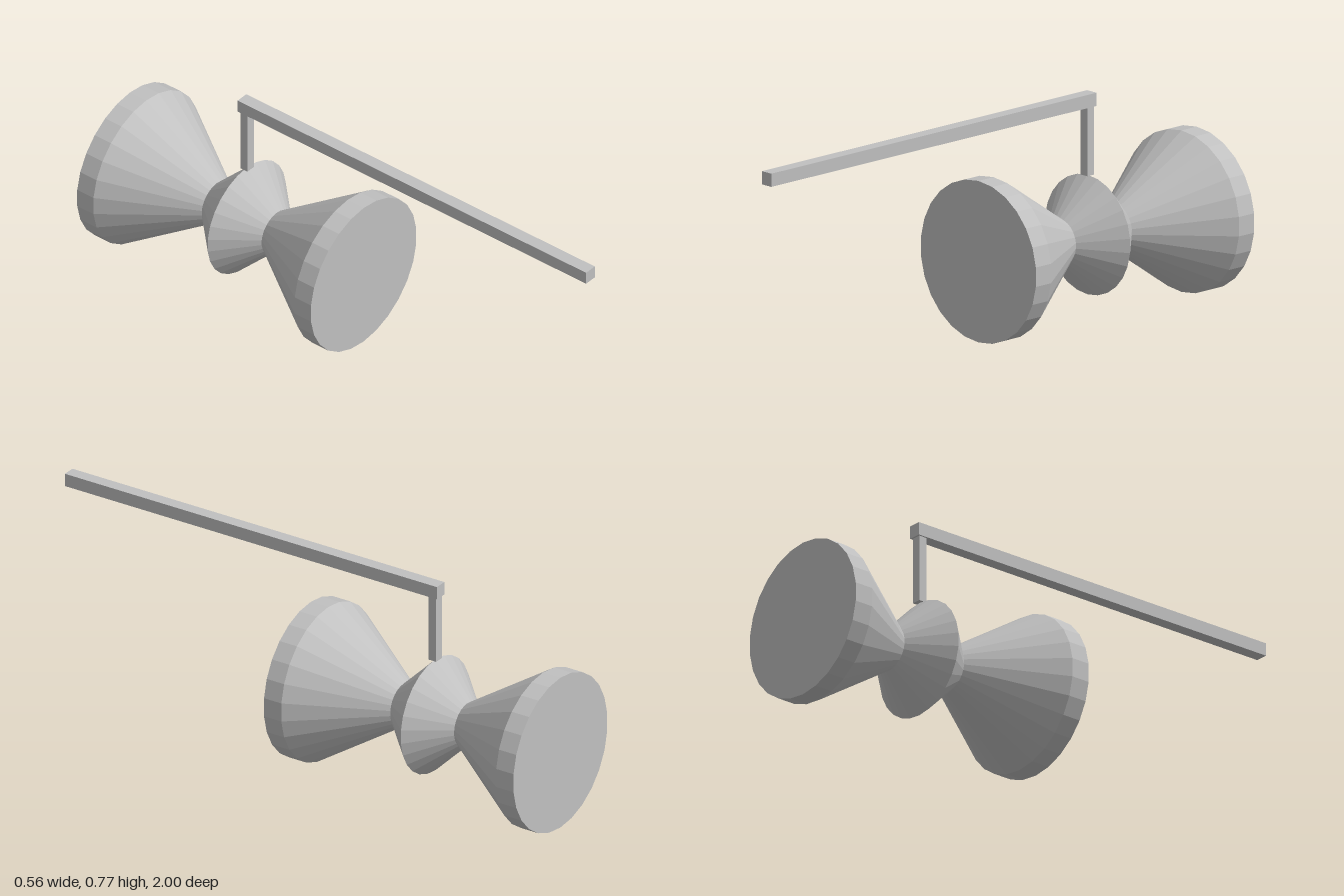
import * as THREE from 'three';

const SIDES = 26, RADIUS = 0.281, CENTRE_Z = -0.4925;

export function createModel() {
  const model = new THREE.Group();
  model.name = 'spool';
  const grey = new THREE.MeshStandardMaterial({ color: 0xc0c0c0 });
  grey.name = 'plain grey';
  grey.flatShading = true;

  // half profile [radius, distance from the middle], mirrored to a full one
  const half = [[0, 0.5075], [RADIUS, 0.5075], [RADIUS, 0.437], [0.08, 0.13]];
  const profile = [
    ...half.map(([r, d]) => new THREE.Vector2(r, -d)),
    new THREE.Vector2(0.208, 0),
    ...half.map(([r, d]) => new THREE.Vector2(r, d)).reverse(),
  ];
  const spool = new THREE.Mesh(new THREE.LatheGeometry(profile, SIDES).rotateX(Math.PI / 2), grey);
  spool.name = 'spoolBody';
  spool.position.set(0, RADIUS, CENTRE_Z);
  model.add(spool);

  // bars given by their centre and size
  const addBar = (name, size, centre) => {
    const bar = new THREE.Mesh(new THREE.BoxGeometry(...size), grey);
    bar.name = name;
    bar.position.set(...centre);
    model.add(bar);
  };
  addBar('post', [0.034, 0.245, 0.031], [0, 0.6125, -0.491]);
  addBar('handleArm', [0.046, 0.046, 1.513], [0, 0.752, 0.2435]);

  return model;
}
